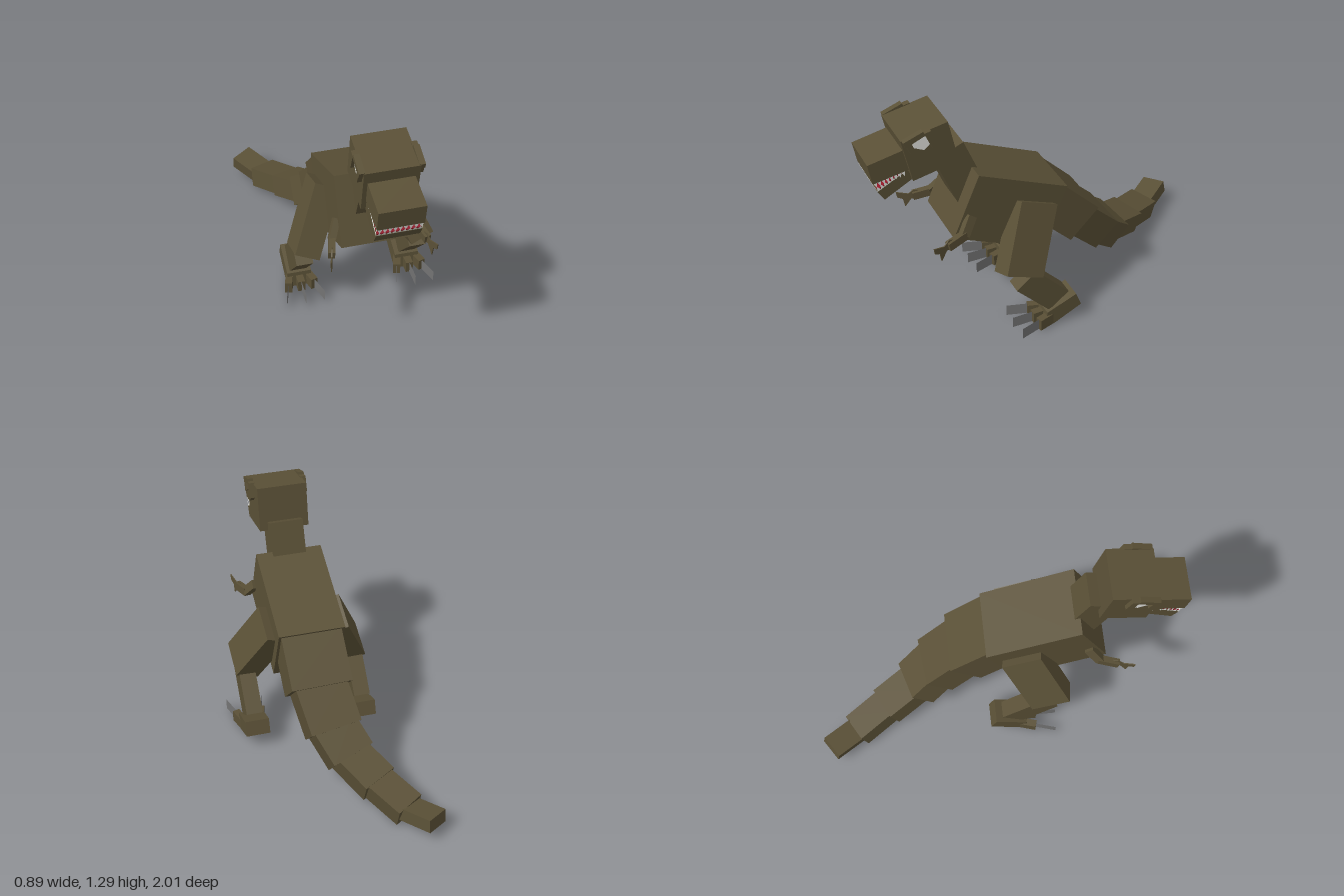
import * as THREE from 'three';

const CX = 0.027; // the body's mirror plane
const V = (a) => new THREE.Vector3(...a);

const mat = (name, color, side = THREE.FrontSide) => {
  const m = new THREE.MeshStandardMaterial({ color, side });
  m.name = name;
  return m;
};

export function createModel() {
  const root = new THREE.Group();
  root.name = 'dinosaur';
  const hide = mat('brown hide', 0x5a5036, THREE.DoubleSide);
  const claw = mat('grey claw', 0x737373, THREE.DoubleSide);
  const white = mat('white', 0xe4e4e0, THREE.DoubleSide);
  const red = mat('mouth red', 0x8c1224, THREE.DoubleSide);

  const add = (name, geo, material = hide) => {
    const m = new THREE.Mesh(geo, material);
    m.name = name;
    root.add(m);
    return m;
  };

  // Side outline of [z, y] points, spanning x0..x1
  const slab = (name, pts, x0, x1, material) => {
    const shape = new THREE.Shape(pts.map(([z, y]) => new THREE.Vector2(z, y)));
    const lo = Math.min(x0, x1), hi = Math.max(x0, x1);
    const g = new THREE.ExtrudeGeometry(shape, { depth: hi - lo, bevelEnabled: false });
    g.rotateY(-Math.PI / 2).translate(hi, 0, 0);
    return add(name, g, material);
  };

  // Box from one corner and three edge vectors
  const cornerBox = (name, corner, a, b, c) => {
    const [p, u, v, w] = [corner, a, b, c].map(V);
    const mid = p.addScaledVector(u, 0.5).addScaledVector(v, 0.5).addScaledVector(w, 0.5);
    if (u.clone().cross(v).dot(w) < 0) w.negate();
    const m = new THREE.Matrix4().makeBasis(u, v, w).setPosition(mid);
    return add(name, new THREE.BoxGeometry(1, 1, 1).applyMatrix4(m));
  };

  // Box running from a to b, pitched first and then swung sideways
  const limb = (name, a, b, width, height, extra = 0) => {
    const p = V(a), d = V(b).sub(p), len = d.length();
    const m = add(name, new THREE.BoxGeometry(width, height, len + extra));
    m.position.copy(p).addScaledVector(d, 0.5);
    d.normalize();
    m.rotation.set(Math.atan2(d.y, -d.z), Math.asin(-d.x), 0, 'XYZ');
    return m;
  };

  // Row of n pointed teeth from a to b
  const teeth = (name, a, b, drop, n) => {
    const A = V(a), B = V(b), D = V(drop), pos = [];
    for (let i = 0; i < n; i++) {
      const l = A.clone().lerp(B, i / n), r = A.clone().lerp(B, (i + 1) / n);
      const t = l.clone().lerp(r, 0.5).add(D);
      pos.push(...l, ...r, ...t);
    }
    const g = new THREE.BufferGeometry();
    g.setAttribute('position', new THREE.Float32BufferAttribute(pos, 3));
    g.computeVertexNormals();
    add(name, g, white);
  };

  // Trunk, neck and head
  slab('body', [[0.45, 0.96], [-0.05, 0.745], [0.1, 0.39], [0.6, 0.615]], -0.157, 0.211);
  slab('neck', [[0.49, 1.12], [0.65, 1.055], [0.53, 0.755], [0.37, 0.82]], -0.066, 0.12);
  slab('head', [[0.583, 1.29], [0.83, 1.243], [0.78, 1.0], [0.535, 1.05]], -0.111, 0.165);
  slab('snout', [[1.0, 1.14], [0.8, 1.18], [0.775, 1.06], [0.98, 1.025]], -0.09, 0.143);
  slab('jaw', [[0.96, 0.975], [0.925, 0.917], [0.77, 1.0], [0.8, 1.06]], -0.087, 0.14);

  // Mouth lining and teeth
  slab('palate', [[0.975, 1.026], [0.8, 1.056], [0.8, 1.05], [0.975, 1.02]], -0.085, 0.138, red);
  slab('tongue', [[0.955, 0.978], [0.8, 1.06], [0.8, 1.066], [0.957, 0.984]], -0.082, 0.135, red);
  for (const s of [-1, 1]) {
    const x = CX + s * 0.114;
    teeth('upper side teeth', [x, 1.028, 0.978], [x, 1.056, 0.81], [0, -0.03, -0.008], 8);
    teeth('lower side teeth', [x, 0.975, 0.958], [x, 1.05, 0.81], [0, 0.026, 0.012], 8);
  }
  teeth('upper front teeth', [-0.087, 1.026, 0.979], [0.14, 1.026, 0.979], [0, -0.028, -0.006], 9);
  teeth('lower front teeth', [-0.085, 0.975, 0.958], [0.138, 0.975, 0.958], [0, 0.024, 0.012], 9);

  // Tail: joints with the width and height of the segment that follows
  const tail = [
    [[0.03, 0.655, 0.04], 0.335, 0.235],
    [[0.025, 0.46, -0.155], 0.285, 0.195],
    [[-0.01, 0.295, -0.32], 0.245, 0.17],
    [[-0.07, 0.19, -0.44], 0.2, 0.125],
    [[-0.17, 0.125, -0.62], 0.17, 0.115],
    [[-0.28, 0.075, -0.8], 0.135, 0.075],
    [[-0.391, 0.105, -0.962]],
  ];
  for (let i = 0; i < tail.length - 1; i++) {
    const [p, w, h] = tail[i];
    limb('tailSegment' + (i + 1), p, tail[i + 1][0], w, h, i === 5 ? 0 : 0.03);
  }

  // Paired parts
  for (const s of [-1, 1]) {
    const side = s > 0 ? 'left ' : 'right ';
    const X = (d) => CX + s * d;

    // Eye and brow ridges
    slab(side + 'eye', [[0.77, 1.235], [0.7, 1.268], [0.672, 1.205], [0.715, 1.168], [0.77, 1.195]],
      X(0.136), X(0.145), white);
    const brows = [
      [[0.826, 1.245], [0.72, 1.283], [0.71, 1.258], [0.815, 1.215]],
      [[0.715, 1.27], [0.68, 1.277], [0.65, 1.2], [0.675, 1.172]],
      [[0.82, 1.245], [0.79, 1.24], [0.765, 1.19], [0.79, 1.172]],
    ];
    for (const b of brows) slab(side + 'brow', b, X(0.13), X(0.161));

    // Arm and flat hand
    const elbow = [X(0.225), 0.65, 0.56], wrist = [X(0.248), 0.632, 0.65];
    limb(side + 'upperArm', elbow, [X(0.185), 0.73, 0.5], 0.035, 0.05);
    limb(side + 'forearm', wrist, elbow, 0.035, 0.045, 0.02);
    const hand = slab(side + 'hand', [[0, 0.03], [0.025, 0.035], [0.055, 0.012], [0.12, 0.028],
      [0.115, -0.005], [0.085, -0.018], [0.075, -0.07], [0.04, -0.02], [0, -0.025]], -0.003, 0.003);
    hand.position.set(X(0.24), 0.63, 0.63);
    hand.rotation.y = s * 0.3;

    // Leg
    cornerBox(side + 'thigh', [X(0.228), 0.762, 0.235], [s * 0.15, -0.33, 0.155],
      [0, -0.08, -0.205], [s * -0.125, -0.048, 0.019]);
    slab(side + 'shin', [[0.33, 0.3], [0.14, 0.1], [0.025, 0.19], [0.215, 0.39]], X(0.268), X(0.36));
    slab(side + 'foot', [[-0.012, 0.17], [-0.043, 0.09], [0.12, 0.012], [0.17, 0.012], [0.16, 0.1]],
      X(0.243), X(0.378));

    // Splayed toes with flat claws
    for (const k of [-1, 0, 1]) {
      const toe = new THREE.Group();
      toe.name = side + 'toe';
      const pad = new THREE.Mesh(new THREE.BoxGeometry(0.04, 0.066, 0.11), hide);
      pad.name = 'toePad';
      pad.position.z = 0.055;
      const nail = new THREE.Mesh(new THREE.PlaneGeometry(0.12, 0.066), claw);
      nail.name = 'toeClaw';
      nail.rotation.y = Math.PI / 2;
      nail.position.z = 0.165;
      toe.add(pad, nail);
      toe.position.set(X(0.311) + k * 0.042, 0.045, 0.11);
      toe.rotation.y = k * 0.29;
      root.add(toe);
    }
  }
  return root;
}
